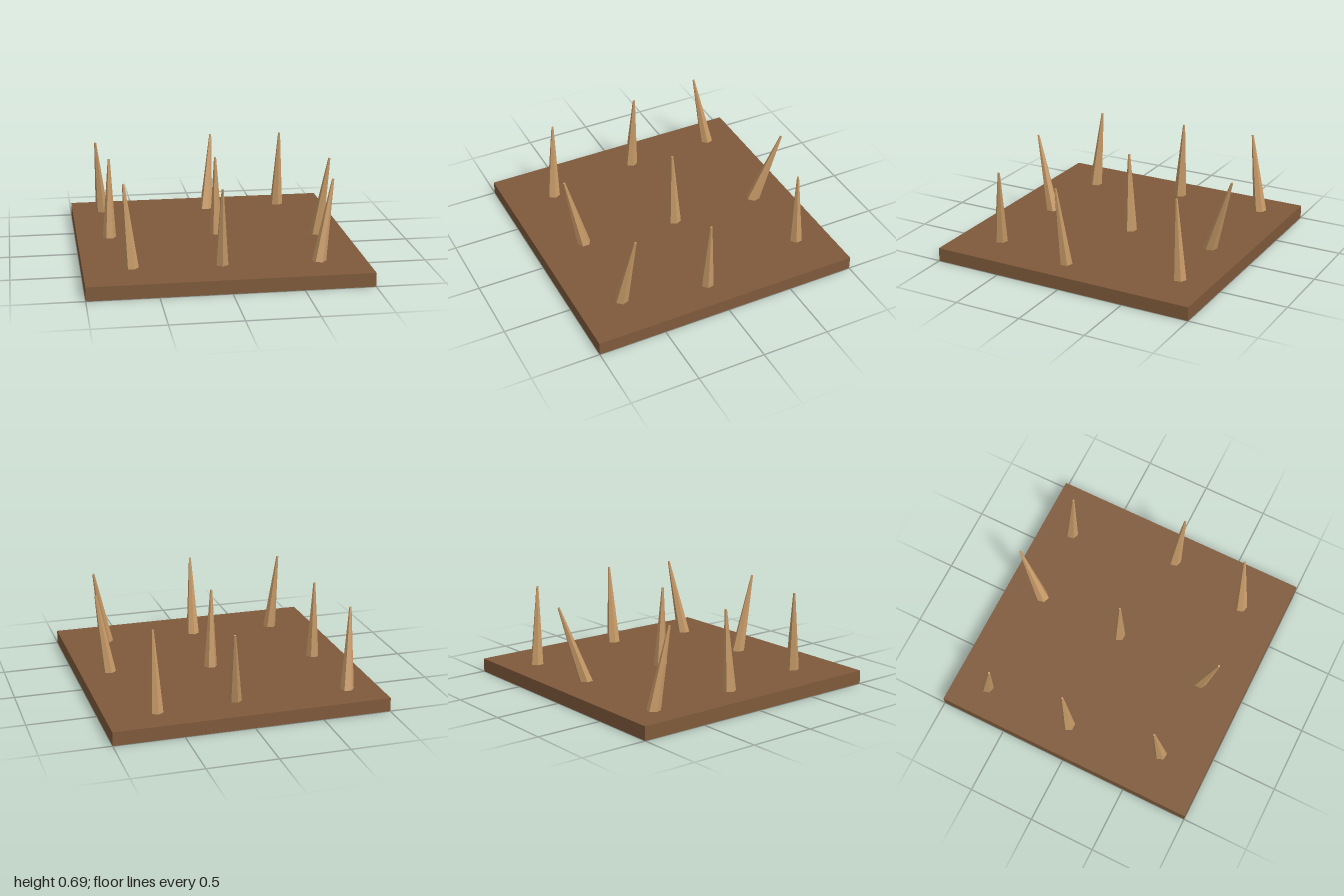
import * as THREE from 'three';

export function createModel() {
  const group = new THREE.Group();
  group.name = 'spikeTrap';
  const boardWood = new THREE.MeshStandardMaterial({ color: 0x7f5a3b });
  boardWood.name = 'dark board wood';
  const spikeWood = new THREE.MeshStandardMaterial({ color: 0xc89b68, flatShading: true });
  spikeWood.name = 'light spike wood';

  // Square base board
  const board = new THREE.Mesh(new THREE.BoxGeometry(2, 0.1, 2), boardWood);
  board.name = 'baseBoard';
  board.position.y = 0.05;
  group.add(board);

  // Leaning spikes: foot x, foot z, tip x, tip y, tip z, twist
  const spikes = [
    [-0.77, -0.75, -0.815, 0.68, -0.65, 0.3],
    [0.06, -0.72, 0.12, 0.655, -0.9, 0.2],
    [0.636, -0.757, 0.647, 0.69, -0.73, 0.1],
    [-0.76, -0.07, -0.75, 0.69, -0.1, 0.5],
    [0.04, -0.052, 0.03, 0.69, -0.037, 0.5],
    [0.785, 0.062, 0.865, 0.685, 0.085, 0.2],
    [-0.657, 0.638, -0.702, 0.69, 0.597, 0.4],
    [-0.025, 0.663, -0.04, 0.68, 0.785, 0],
    [0.668, 0.68, 0.77, 0.675, 0.612, 0.3],
  ];
  const up = new THREE.Vector3(0, 1, 0);
  spikes.forEach(([fx, fz, tx, ty, tz, twist], i) => {
    const tip = new THREE.Vector3(tx, ty, tz);
    const foot = new THREE.Vector3(fx, 0.1, fz);
    const dir = tip.clone().sub(foot).normalize();
    foot.addScaledVector(dir, -0.015); // sink the foot into the board
    const geometry = new THREE.CylinderGeometry(0.008, 0.05, foot.distanceTo(tip), 6);
    geometry.rotateY(twist);
    const spike = new THREE.Mesh(geometry, spikeWood);
    spike.name = `spike${i + 1}`;
    spike.position.copy(foot).lerp(tip, 0.5);
    spike.quaternion.setFromUnitVectors(up, dir);
    group.add(spike);
  });
  return group;
}
